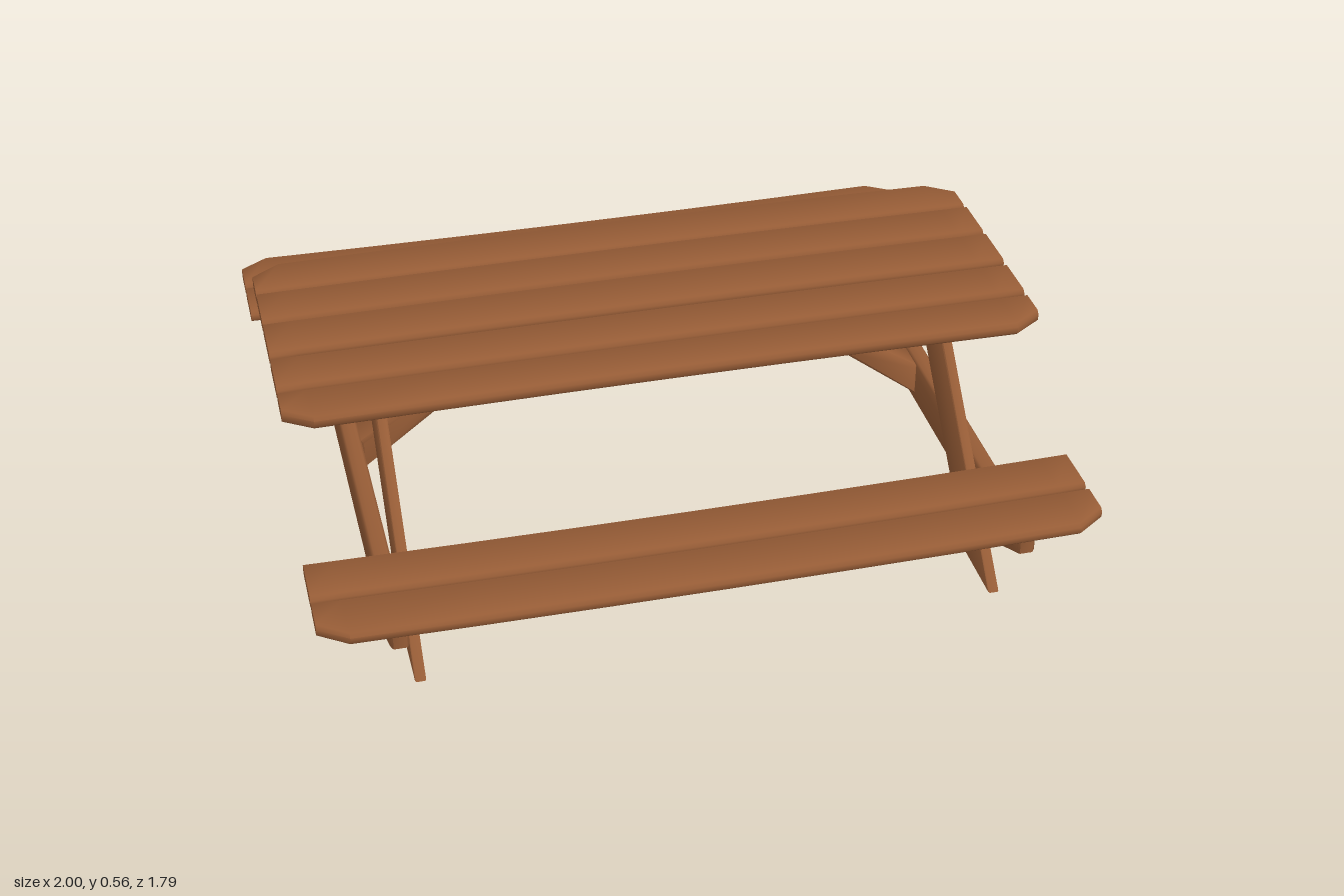
import * as THREE from 'three';
import { toCreasedNormals } from 'three/addons/utils/BufferGeometryUtils.js';

const CREASE = 0.9;

// Plank along x: bevelled sections, a slight bow, and optional trimmed corners (trim = -1 or 1 in z)
function plankGeometry(z0, z1, y0, y1, bow, trim, swell) {
  const stations = [-1, -0.925, -0.6, -0.3, 0, 0.3, 0.6, 0.925, 1];
  const b = 0.009, pos = [], index = [];
  for (const x of stations) {
    const cut = Math.abs(x) === 1 ? 0.05 : 0;
    const lift = bow * (1 - x * x), grow = swell * (1 - x * x);
    const za = z0 + (trim < 0 ? cut - grow : 0), zb = z1 - (trim > 0 ? cut - grow : 0);
    const lo = y0 + lift, hi = y1 + lift;
    const ring = [[lo + b, za], [hi - b, za], [hi, za + b], [hi, zb - b],
      [hi - b, zb], [lo + b, zb], [lo, zb - b], [lo, za + b]];
    for (const [y, z] of ring) pos.push(x, y, z);
  }
  const n = 8, last = (stations.length - 1) * n;
  for (let s = 0; s < last; s += n) {
    for (let i = 0; i < n; i++) {
      const j = (i + 1) % n;
      index.push(s + i, s + j, s + n + i, s + j, s + n + j, s + n + i);
    }
  }
  for (let i = 1; i < n - 1; i++) {
    index.push(0, i + 1, i, last, last + i, last + i + 1);
  }
  const g = new THREE.BufferGeometry();
  g.setAttribute('position', new THREE.Float32BufferAttribute(pos, 3));
  g.setIndex(index);
  return toCreasedNormals(g, CREASE);
}

// Board cut from an outline, centred on its thickness, with softened edges
function boardGeometry(points, thickness, bevel) {
  const shape = new THREE.Shape(points.map(([x, y]) => new THREE.Vector2(x, y)));
  const g = new THREE.ExtrudeGeometry(shape, {
    depth: thickness - 2 * bevel, bevelEnabled: true, bevelThickness: bevel,
    bevelSize: bevel, bevelOffset: -bevel, bevelSegments: 1,
  });
  g.translate(0, 0, bevel - thickness / 2);
  return toCreasedNormals(g, CREASE);
}

export function createModel() {
  const model = new THREE.Group();
  model.name = 'picnicTable';
  const wood = new THREE.MeshStandardMaterial({ color: 0x965c36 });
  wood.name = 'brownWood';

  const add = (name, geometry, x = 0) => {
    const mesh = new THREE.Mesh(geometry, wood);
    mesh.name = name;
    mesh.position.x = x;
    model.add(mesh);
  };

  // Table top: z0, z1, y0, y1, bow, trimmed side, swell
  [
    [-0.386, -0.245, 0.508, 0.544, 0.003, -1, 0.008],
    [-0.236, -0.088, 0.515, 0.549, 0.005, 0, 0],
    [-0.081, 0.073, 0.516, 0.55, 0.005, 0, 0],
    [0.085, 0.23, 0.512, 0.547, 0.003, 0, 0],
    [0.241, 0.384, 0.51, 0.545, 0.003, 1, -0.006],
  ].forEach((p, i) => add('tableTopPlank' + (i + 1), plankGeometry(...p)));

  // Two seat planks on each side, sagging a little
  for (const [side, s] of [['front', 1], ['back', -1]]) {
    const seat = (name, a, b, trim) => add(side + name,
      plankGeometry(Math.min(s * a, s * b), Math.max(s * a, s * b), 0.234, 0.267, -0.008, trim, 0));
    seat('SeatInnerPlank', 0.592, 0.737, 0);
    seat('SeatOuterPlank', 0.748, 0.896, s);
  }

  for (const [side, s] of [['left', 1], ['right', -1]]) {
    // Cross beam under the seats
    const beam = boardGeometry([[-0.85, 0.23], [-0.85, 0.165], [-0.735, 0.106],
      [0.735, 0.106], [0.85, 0.165], [0.85, 0.23]], 0.046, 0.006);
    add(side + 'CrossBeam', beam.rotateY(-Math.PI / 2), s * 0.802);

    // Slanted legs
    for (const [end, f] of [['Front', 1], ['Back', -1]]) {
      const leg = boardGeometry([[f * 0.79, 0], [f * 0.596, 0],
        [f * 0.11, 0.515], [f * 0.298, 0.515]], 0.028, 0.003);
      add(side + end + 'Leg', leg.rotateY(-Math.PI / 2), s * 0.751);
    }

    // Bent brace from the beam up to the table top
    add(side + 'Brace', boardGeometry([[s * 0.33, 0.517], [s * 0.41, 0.517], [s * 0.58, 0.355],
      [s * 0.78, 0.222], [s * 0.78, 0.13], [s * 0.56, 0.3]], 0.104, 0.008));
  }
  return model;
}
